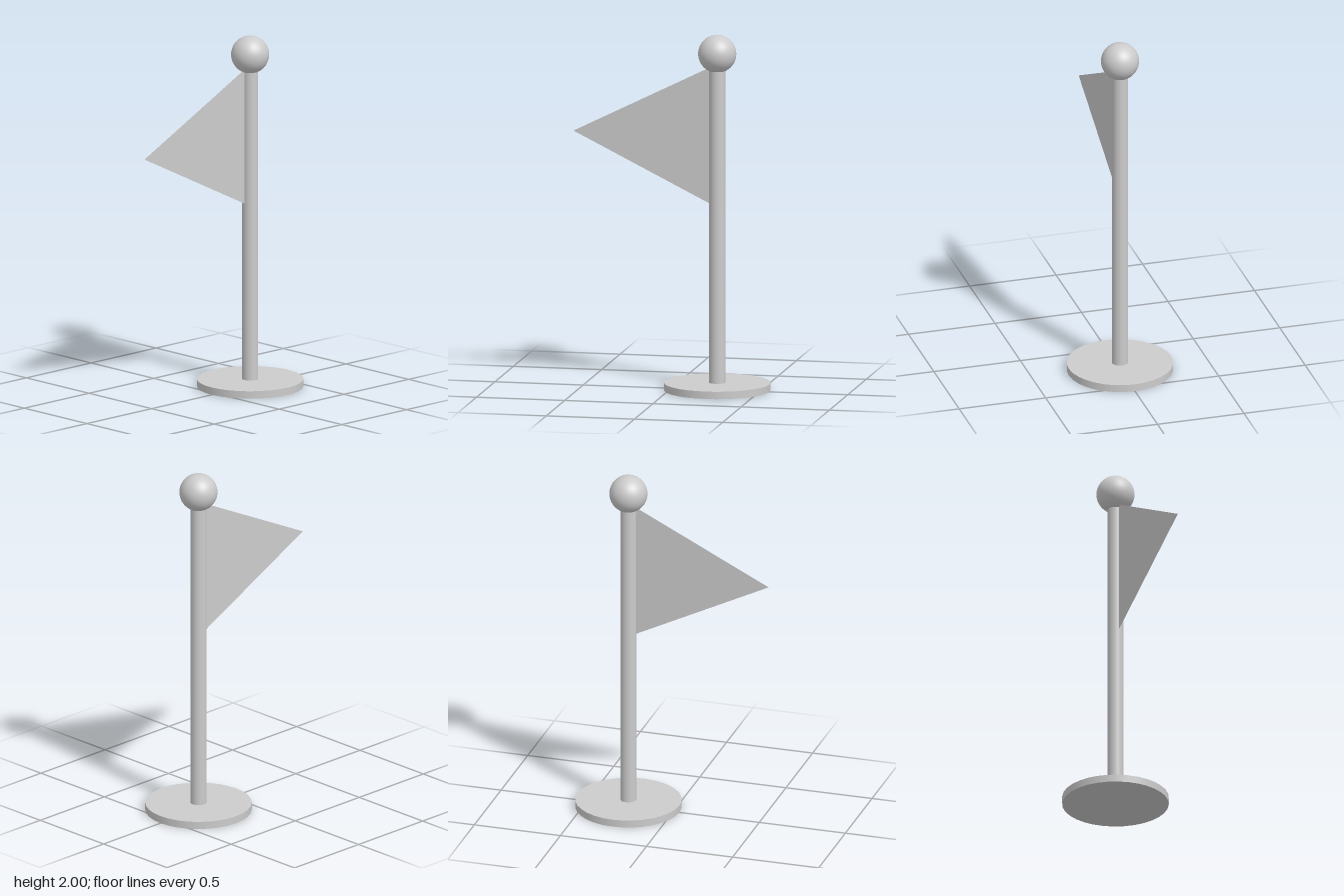
import * as THREE from 'three';

export function createModel() {
  const group = new THREE.Group();
  const grey = new THREE.MeshStandardMaterial({ color: 0xcccccc });
  const cloth = new THREE.MeshStandardMaterial({ color: 0xcccccc, side: THREE.DoubleSide });
  const poleX = 0.26, poleRadius = 0.045;

  function add(name, geometry, material, x, y) {
    const mesh = new THREE.Mesh(geometry, material);
    mesh.name = name;
    mesh.position.set(x, y, 0);
    group.add(mesh);
  }

  // Round foot, pole and ball finial share one axis
  const baseHeight = 0.042, ballRadius = 0.106, poleTop = 1.81;
  add('base', new THREE.CylinderGeometry(0.296, 0.296, baseHeight, 32), grey, poleX, baseHeight / 2);
  add('pole', new THREE.CylinderGeometry(poleRadius, poleRadius, poleTop - baseHeight, 32),
    grey, poleX, (poleTop + baseHeight) / 2);
  add('finial', new THREE.SphereGeometry(ballRadius, 32, 24), grey, poleX, 2 - ballRadius);

  // Thin triangular pennant, hoisted on the pole's right side
  const pennant = new THREE.Shape([
    new THREE.Vector2(0, 0.382),
    new THREE.Vector2(-0.77, 0),
    new THREE.Vector2(0, -0.382),
  ]);
  add('pennant', new THREE.ShapeGeometry(pennant), cloth, poleX - poleRadius, 1.432);

  return group;
}
